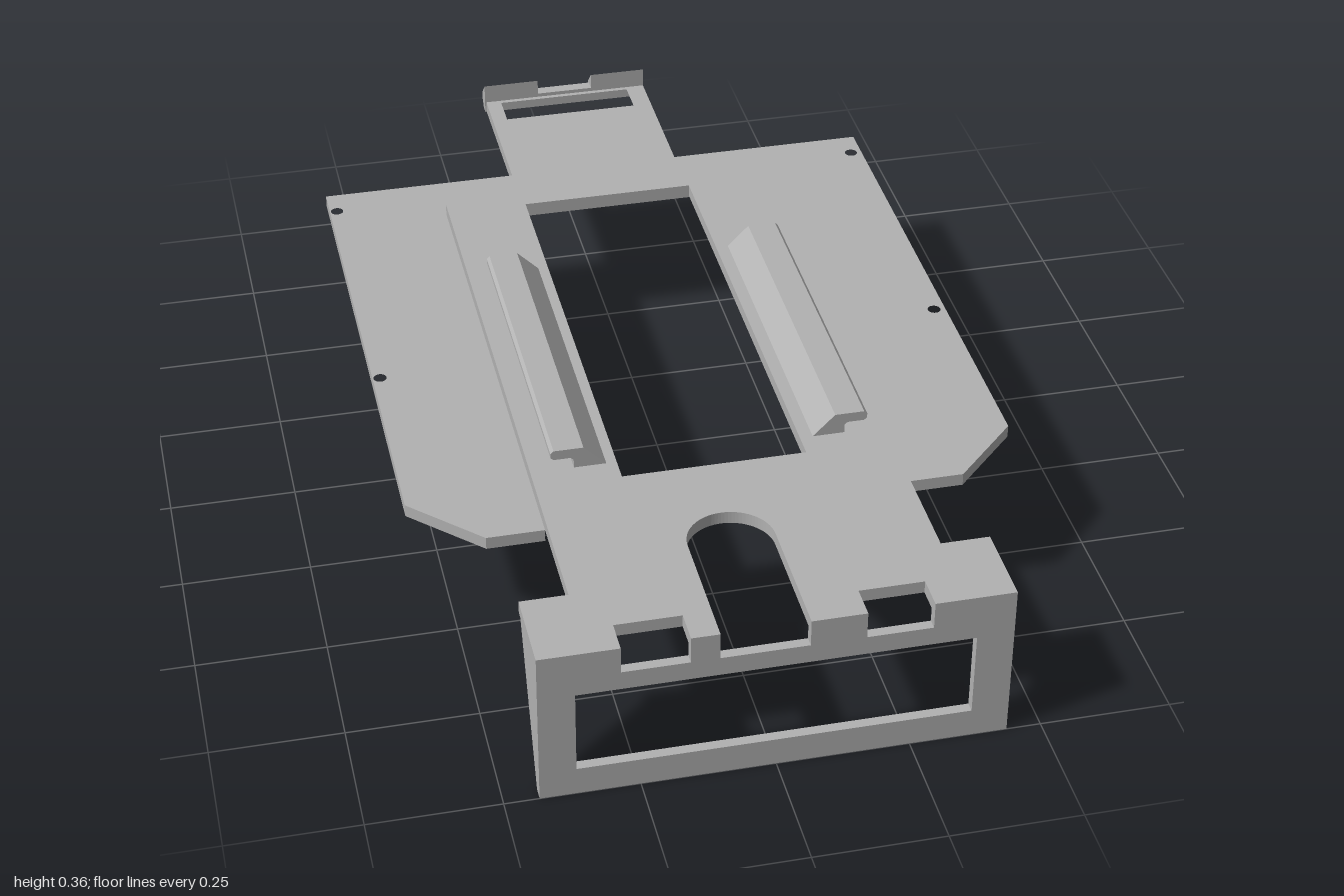
import * as THREE from 'three';

export function createModel() {
  const group = new THREE.Group();
  const grey = new THREE.MeshStandardMaterial({ color: 0xb2b2b2 });
  grey.name = 'plain grey';

  const add = (name, geometry) => {
    const mesh = new THREE.Mesh(geometry, grey);
    mesh.name = name;
    group.add(mesh);
    return mesh;
  };
  const toShape = (pts) => new THREE.Shape(pts.map(([a, b]) => new THREE.Vector2(a, b)));
  const rectHole = (x0, y0, x1, y1) =>
    new THREE.Path([[x0, y0], [x0, y1], [x1, y1], [x1, y0]].map(([a, b]) => new THREE.Vector2(a, b)));
  const extrude = (shape, depth) =>
    new THREE.ExtrudeGeometry(shape, { depth, bevelEnabled: false, curveSegments: 20 });
  // Flat plate: shape drawn in (x, -z), standing from y0 to y1
  const plate = (name, shape, y0, y1) =>
    add(name, extrude(shape, y1 - y0).rotateX(-Math.PI / 2).translate(0, y0, 0));
  // Side profile drawn in (z, y), running from x0 to x1
  const sideProfile = (name, pts, x0, x1) =>
    add(name, extrude(toShape(pts.map(([z, y]) => [-z, y])), x1 - x0).rotateY(Math.PI / 2).translate(x0, 0, 0));

  // Lower U-shaped plate with the rear tongue
  const half = [[0.18, 1], [0.18, 0.64], [0.585, 0.64], [0.585, -0.48], [0.455, -0.61], [0.345, -0.61], [0.345, 0.51]];
  const mirrored = half.map(([x, y]) => [-x, y]).reverse();
  const lower = toShape([...half, ...mirrored].map(([x, y]) => [x, Math.min(y, 0.965)]));
  lower.holes.push(rectHole(-0.148, 0.88, 0.14, 0.955));
  for (const x of [-0.57, 0.562]) {
    for (const y of [0.575, -0.06]) {
      lower.holes.push(new THREE.Path().absarc(x, y, 0.013, 0, Math.PI * 2, true));
    }
  }
  plate('lowerPlate', lower, 0.27, 0.295);

  // Raised central plate with front flange, notches and arch
  const upper = new THREE.Shape();
  upper.moveTo(-0.435, -0.98);
  const line = (pts) => pts.forEach(([x, y]) => upper.lineTo(x, y));
  line([[-0.285, -0.98], [-0.285, -0.935], [-0.16, -0.935], [-0.16, -0.98], [-0.107, -0.98], [-0.107, -0.742]]);
  upper.absarc(-0.025, -0.742, 0.082, Math.PI, 0, true);
  line([[0.057, -0.98], [0.16, -0.98], [0.16, -0.935], [0.283, -0.935], [0.283, -0.98], [0.435, -0.98],
    [0.435, -0.835], [0.342, -0.835], [0.342, 0.512], [-0.345, 0.512], [-0.345, -0.835], [-0.435, -0.835]]);
  upper.closePath();
  upper.holes.push(rectHole(-0.18, -0.512, 0.175, 0.477));
  plate('upperPlate', upper, 0.295, 0.32);

  // Upright front frame, notched along its top edge
  const top = 0.32, low = 0.266;
  const frame = toShape([[-0.435, 0], [0.435, 0], [0.435, top], [0.283, top], [0.283, low], [0.16, low], [0.16, top],
    [0.057, top], [0.057, low], [-0.107, low], [-0.107, top], [-0.16, top], [-0.16, low], [-0.285, low],
    [-0.285, top], [-0.435, top]]);
  frame.holes.push(rectHole(-0.367, 0.057, 0.365, 0.228));
  add('frontFrame', extrude(frame, 0.02).translate(0, 0, 0.98));

  // Tapered side gussets behind the frame
  for (const x of [-0.435, 0.413]) {
    sideProfile('sideGusset', [[0.98, 0], [0.98, 0.295], [0.85, 0.295], [0.975, 0]], x, x + 0.022);
  }

  // Hooked guide rails
  const rail = [[0.2, 0.32], [0.262, 0.32], [0.262, 0.338], [0.268, 0.343], [0.3, 0.343], [0.306, 0.348],
    [0.306, 0.357], [0.3, 0.363], [0.243, 0.363]];
  for (const s of [-1, 1]) {
    const pts = rail.map(([x, y]) => [s * x, y]);
    add('guideRail', extrude(toShape(pts), 0.69).translate(0, 0, -0.225));
  }

  // Rear catch: two raised teeth with a lower middle
  const tooth = [[-0.965, 0.27], [-0.965, 0.336], [-1, 0.303], [-1, 0.287], [-0.985, 0.27]];
  sideProfile('rearCatch', tooth, -0.183, -0.062);
  sideProfile('rearCatch', tooth, 0.06, 0.18);
  sideProfile('rearCatchMiddle', [[-0.965, 0.27], [-0.965, 0.303], [-0.99, 0.303], [-0.99, 0.276], [-0.985, 0.27]],
    -0.062, 0.06);

  return group;
}
